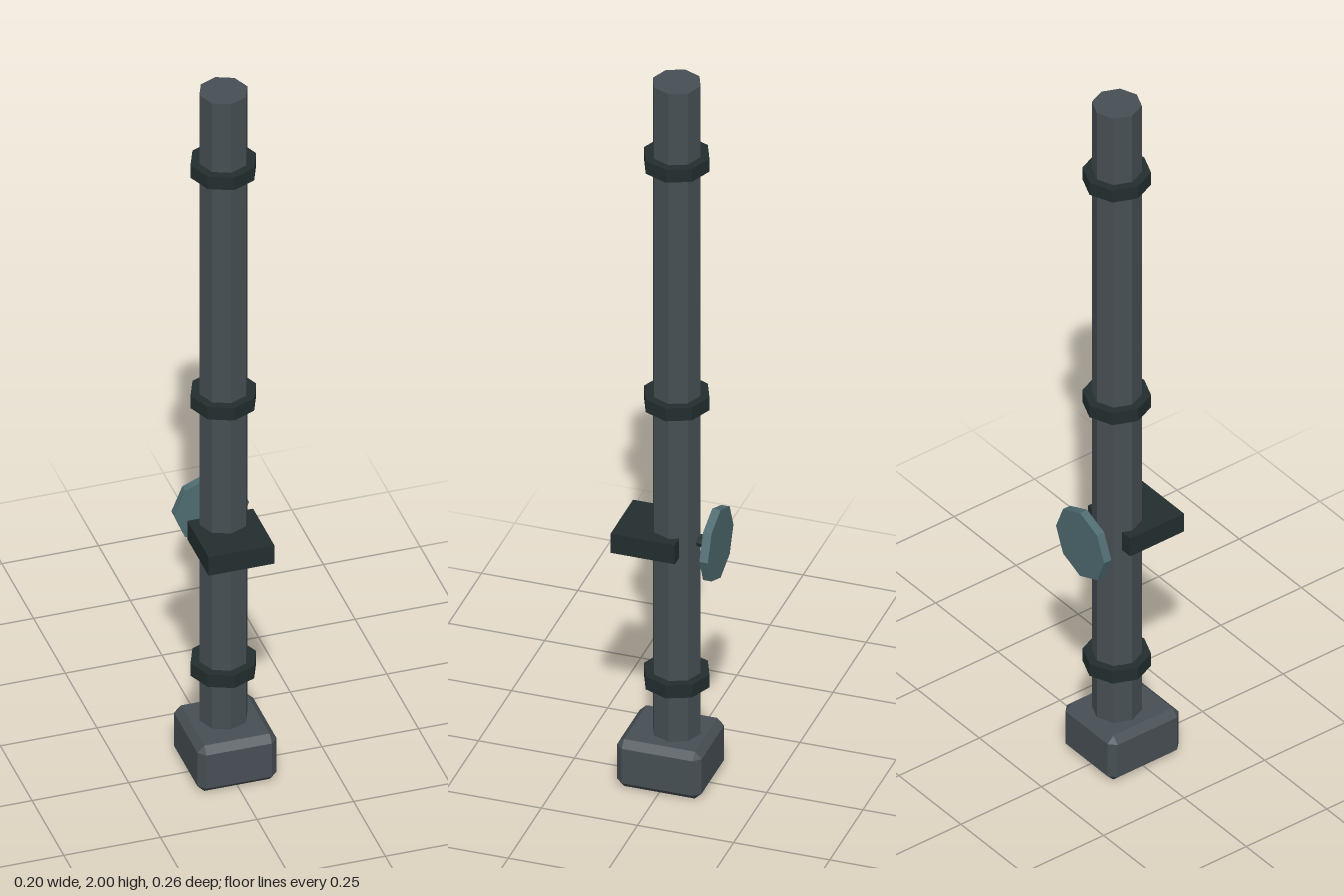
import * as THREE from 'three';
import { ConvexGeometry } from 'three/addons/geometries/ConvexGeometry.js';

const material = (name, color) => {
  const m = new THREE.MeshStandardMaterial({ color, flatShading: true });
  m.name = name;
  return m;
};

// Box with every edge cut by a flat chamfer
function chamferedBox(w, h, d, c) {
  const points = [];
  for (const x of [-1, 1]) for (const y of [-1, 1]) for (const z of [-1, 1]) {
    const [X, Y, Z] = [w / 2, h / 2, d / 2];
    points.push(
      new THREE.Vector3(x * X, y * (Y - c), z * (Z - c)),
      new THREE.Vector3(x * (X - c), y * Y, z * (Z - c)),
      new THREE.Vector3(x * (X - c), y * (Y - c), z * Z)
    );
  }
  return new ConvexGeometry(points);
}

export function createModel() {
  const group = new THREE.Group();
  const steel = material('grey steel', 0x474f54);
  const dark = material('dark iron', 0x232e2e);
  const teal = material('teal paint', 0x4f6c71);
  const pipeZ = -0.016;
  const valveY = 0.692;

  const add = (name, geometry, mat, x, y, z) => {
    const mesh = new THREE.Mesh(geometry, mat);
    mesh.name = name;
    mesh.position.set(x, y, z);
    group.add(mesh);
    return mesh;
  };

  // Foot and upright pipe
  add('base', chamferedBox(0.205, 0.135, 0.22, 0.018), steel, 0, 0.0675, 0);
  add('pipe', new THREE.CylinderGeometry(0.062, 0.062, 1.9, 8), steel, 0, 1.05, pipeZ);

  // Joint collars
  [0.292, 1.09, 1.777].forEach((y, i) => {
    add(`collar${i + 1}`, new THREE.CylinderGeometry(0.085, 0.085, 0.037, 8), dark, 0, y, pipeZ);
  });

  // Bracket at the front
  add('bracket', new THREE.BoxGeometry(0.17, 0.055, 0.167), dark, 0, valveY, 0.0435);

  // Valve stem and wheel at the back
  const stem = add('valveStem', new THREE.CylinderGeometry(0.016, 0.016, 0.06, 8), dark, 0, valveY, -0.085);
  const wheel = add('valveWheel', new THREE.CylinderGeometry(0.097, 0.097, 0.022, 8), teal, 0, valveY, -0.119);
  stem.rotation.x = wheel.rotation.x = Math.PI / 2;

  return group;
}
